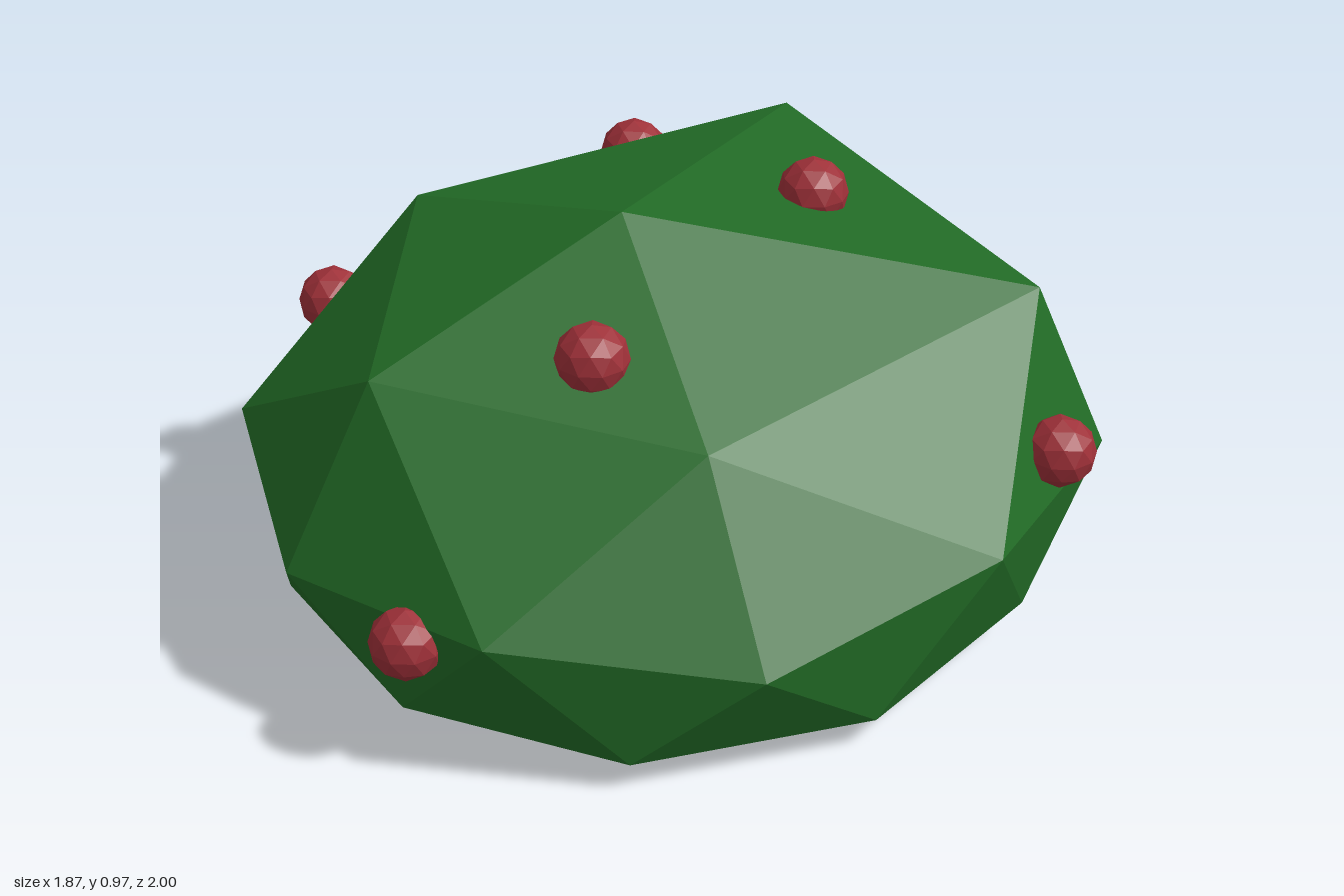
import * as THREE from 'three';
import { ConvexGeometry } from 'three/addons/geometries/ConvexGeometry.js';

// Corner points of the faceted bush, ring by ring from top to bottom
const crown = [
  [0, 0.97, 0.13],
  [-0.21, 0.75, 0.72], [0.46, 0.68, 0.43], [0.69, 0.75, -0.48],
  [-0.26, 0.78, -0.85], [-0.65, 0.78, 0.07],
];
const waist = [
  [-0.28, 0.35, 0.93], [0.25, 0.37, 0.91], [0.71, 0.29, 0.56], [0.92, 0.38, 0],
  [0.83, 0.36, -0.57], [0.27, 0.43, -0.94], [-0.29, 0.5, -1], [-0.75, 0.44, -0.75],
  [-0.93, 0.36, 0.03], [-0.74, 0.42, 0.59],
];
const skirt = [
  [0, 0.1, 0.89], [0.48, 0.07, 0.72], [0.8, 0.07, 0.28], [0.84, 0.1, -0.24],
  [0.54, 0.11, -0.73], [-0.04, 0.1, -0.97], [-0.55, 0.1, -0.88], [-0.82, 0.1, -0.24],
  [-0.8, 0.11, 0.32], [-0.49, 0.11, 0.72],
];
const base = [
  [0.46, 0, 0.37], [-0.18, 0.02, 0.63], [-0.56, 0.04, -0.03],
  [-0.18, 0.04, -0.58], [0.63, 0.02, -0.2],
];

const berrySpots = [
  [0.05, 0.31, 0.92], [0.145, 0.79, 0.415], [0.14, 0.85, -0.39], [0.86, 0.47, -0.32],
  [-0.82, 0.5, 0.195], [0.21, 0.29, -0.91], [-0.505, 0.69, -0.555],
];

export function createModel() {
  const model = new THREE.Group();
  model.name = 'berryBush';

  // Leafy body
  const points = [...crown, ...waist, ...skirt, ...base].map((p) => new THREE.Vector3(...p));
  const foliage = new THREE.Mesh(
    new ConvexGeometry(points),
    new THREE.MeshStandardMaterial({ color: 0x226b26, flatShading: true }),
  );
  foliage.name = 'foliage';
  model.add(foliage);

  // Berries half sunk into the leaves, each with a corner pointing up
  const berryGeometry = new THREE.IcosahedronGeometry(0.081, 1);
  berryGeometry.rotateX(-Math.atan((1 + Math.sqrt(5)) / 2));
  const berryMaterial = new THREE.MeshStandardMaterial({ color: 0x9e3038, flatShading: true });
  const berries = new THREE.Group();
  berries.name = 'berries';
  for (const spot of berrySpots) {
    const berry = new THREE.Mesh(berryGeometry, berryMaterial);
    berry.name = 'berry';
    berry.position.set(...spot);
    berries.add(berry);
  }
  model.add(berries);

  return model;
}
